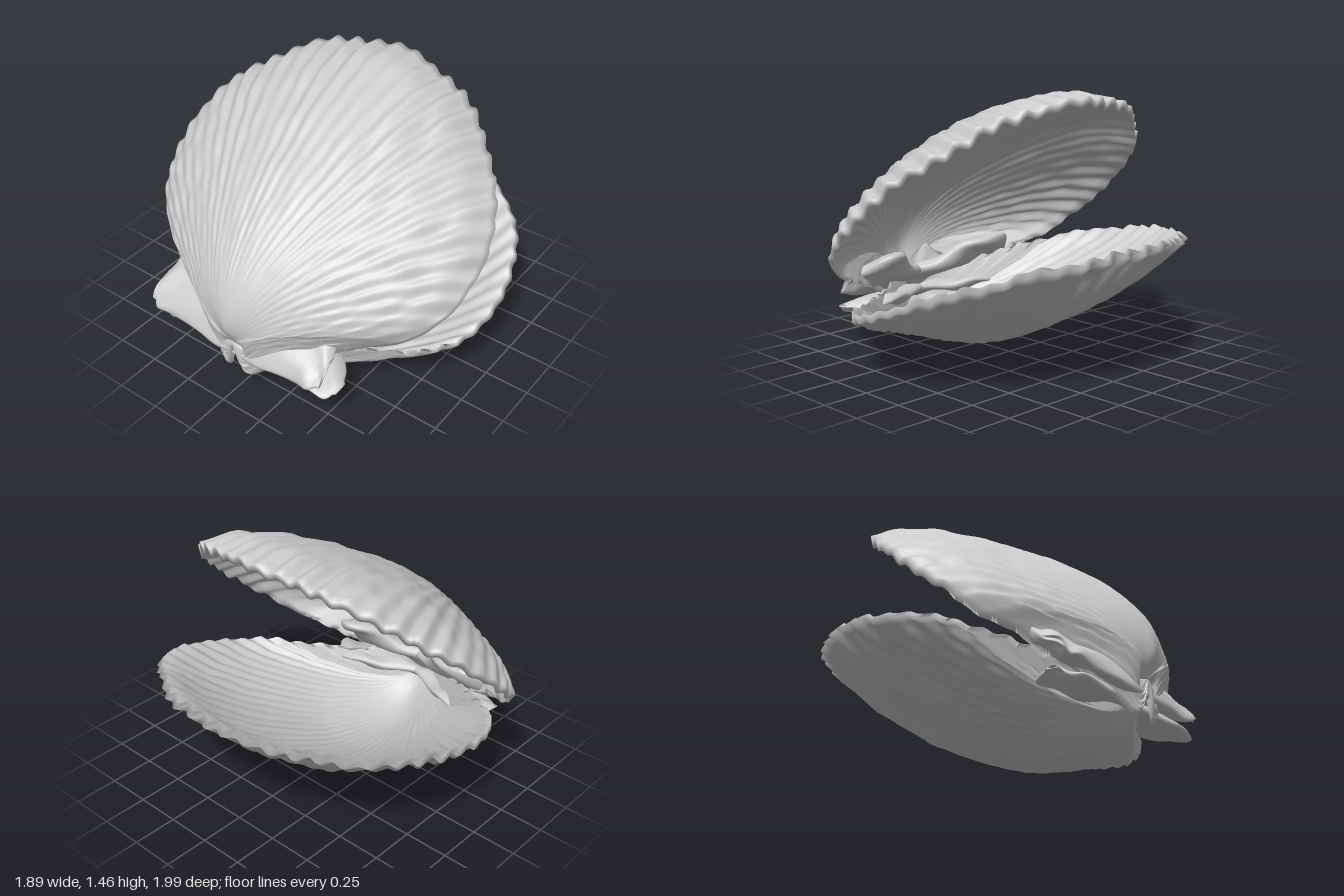
import * as THREE from 'three';

const material = new THREE.MeshStandardMaterial({ color: 0xcccccc, side: THREE.DoubleSide });
const RIBS = 46, COLS = RIBS * 8, OUTER = 40, INNER = 18;

// Half outline of a valve: distance from the beak, sideways distance
const half = [[1.81, 0], [1.74, 0.35], [1.55, 0.66], [1.28, 0.89], [0.95, 0.985], [0.66, 0.94],
  [0.48, 0.81], [0.34, 0.6], [0.19, 0.38], [0.05, 0.18], [-0.03, 0]];
const mirrored = half.slice(1, -1).reverse().map(([a, b]) => [a, -b]);
const outline = new THREE.CatmullRomCurve3(
  [...half, ...mirrored].map(([a, b]) => new THREE.Vector3(a, b, 0)), true, 'centripetal');
outline.arcLengthDivisions = 800;

// Bulge along the middle ray: fraction of the ray, height
const profileCurve = (points) => new THREE.CatmullRomCurve3(
  points.map(([s, h]) => new THREE.Vector3(s, h, 0)), false, 'centripetal');

// Closed grid of rings; flip reverses the faces
function ringGeometry(rows, cols, point, flip) {
  const positions = [], index = [];
  for (let r = 0; r < rows; r++)
    for (let c = 0; c < cols; c++) positions.push(...point(r, c));
  for (let r = 0; r < rows - 1; r++)
    for (let c = 0; c < cols; c++) {
      const d = (c + 1) % cols;
      const i = r * cols + c, j = r * cols + d, k = i + cols, l = j + cols;
      if (flip) index.push(i, k, j, j, k, l);
      else index.push(i, j, k, j, l, k);
    }
  const geometry = new THREE.BufferGeometry();
  geometry.setAttribute('position', new THREE.Float32BufferAttribute(positions, 3));
  geometry.setIndex(index);
  geometry.computeVertexNormals();
  return geometry;
}

// One ribbed valve: outer skin from beak to rim, then inner skin back to the beak
function makeValve(name, { beak, tip, up, profile, narrow, sag, tilt, hinge, ribFade, seed }) {
  const length = Math.hypot(tip[0] - beak[0], tip[1] - beak[1]);
  const ax = (tip[0] - beak[0]) / length, ay = (tip[1] - beak[1]) / length;
  const nx = -ay * up, ny = ax * up;
  const curve = profileCurve(profile);
  const rim = [];
  for (let c = 0; c < COLS; c++) rim.push(outline.getPointAt(c / COLS));

  const point = (r, c) => {
    const inside = r > OUTER;
    const t = inside ? 1 - (r - OUTER - 1) / INNER : r / OUTER;
    const p = curve.getPoint(t);
    const e = rim[c];
    const angle = Math.atan2(e.y, e.x), sin = Math.sin(angle);
    const cos = Math.max(0, Math.cos(angle));
    const fade = THREE.MathUtils.smoothstep(cos, ...ribFade);
    // ribs of uneven strength, fading towards the beak and the hinge sides
    const uneven = 0.8 + 0.35 * Math.sin(e.y * 9 + e.x * 5 + seed);
    const rib = Math.cos(2 * Math.PI * RIBS * c / COLS) * fade * uneven;
    let s = Math.max(0, p.x);
    // growth ripples and fine bumps
    const rough = 0.004 * s * (Math.sin(s * 41 + seed + 2 * e.y) + Math.sin(s * 23 + e.y * 17 + seed)
      + Math.sin(e.x * 29 - s * 31 + seed * 2) + Math.sin(s * 57 + seed) * Math.sin(e.y * 37 + e.x * 19));
    let h = p.y * (0.08 + 0.92 * cos ** narrow) + rib * 0.012 * s ** 1.5 + rough;
    const swell = 0.2 * p.y * (1 - s) ** 2 * sin;
    if (inside) {
      h -= 0.03 * Math.sqrt(s);
      s *= 0.985;
    }
    const k = s * (1 + 0.007 * s ** 4 * rib + 0.006 * s ** 6 * Math.sin(e.y * 13 + seed));
    const a = e.x * k, b = e.y * k + swell;
    const lift = s * sin * sin * (sag + tilt * e.y + hinge * Math.max(0, 0.6 - cos));
    return [beak[0] + ax * a + nx * h, beak[1] + ay * a + ny * h + lift, b];
  };
  const mesh = new THREE.Mesh(ringGeometry(OUTER + INNER + 2, COLS, point, up < 0), material);
  mesh.name = name;
  return mesh;
}

// Hinge ear: flattened oval sections lofted outwards; stations are [z, x, y, halfLength, halfThickness]
function makeEar(name, stations, slope, side) {
  const sides = 24, rows = 24;
  const curves = [1, 2, 3, 4].map((i) => new THREE.CatmullRomCurve3(
    stations.map((q) => new THREE.Vector3(q[0], q[i], 0)), false, 'centripetal'));
  const point = (r, c) => {
    const [x, y, l, w] = curves.map((q) => q.getPoint(r / (rows - 1)).y);
    const z = curves[0].getPoint(r / (rows - 1)).x;
    const a = 2 * Math.PI * c / sides;
    const u = l * Math.cos(a);
    const v = w * Math.sin(a) + 0.012 * Math.sin(u * 30 + z * 14);
    return [x + u * Math.cos(slope) - v * Math.sin(slope),
      y + u * Math.sin(slope) + v * Math.cos(slope), side * z];
  };
  const mesh = new THREE.Mesh(ringGeometry(rows, sides, point, side < 0), material);
  mesh.name = name;
  return mesh;
}

export function createModel() {
  const group = new THREE.Group();
  group.name = 'openShell';

  group.add(makeValve('upperValve', {
    beak: [-0.87, 0.3], tip: [0.55, 1.41], up: 1, narrow: 1.3, sag: -0.12, tilt: -0.02, hinge: -0.08,
    ribFade: [0.3, 0.85], seed: 1,
    profile: [[0, 0], [0.02, 0.165], [0.11, 0.29], [0.244, 0.355], [0.39, 0.365],
      [0.554, 0.335], [0.737, 0.27], [0.9, 0.16], [1, 0.015]],
  }));
  group.add(makeValve('lowerValve', {
    beak: [-0.8, 0.2], tip: [0.94, 0.7], up: -1, narrow: 2.1, sag: 0.035, tilt: -0.16, hinge: 0.36,
    ribFade: [0.15, 0.65], seed: 4,
    profile: [[0, 0], [0.035, 0.155], [0.1, 0.25], [0.18, 0.31], [0.29, 0.34], [0.4, 0.35],
      [0.64, 0.28], [0.83, 0.17], [1, 0.01]],
  }));

  // Ears on both sides of the hinge
  for (const [label, side, reach] of [['left', 1, 0.5], ['right', -1, 0.6]]) {
    group.add(makeEar(label + 'UpperEar', [
      [0, -0.82, 0.29, 0.09, 0.05], [0.14, -0.79, 0.32, 0.14, 0.055], [0.26, -0.73, 0.37, 0.2, 0.055],
      [reach - 0.12, -0.7, 0.38, 0.22, 0.05], [reach - 0.04, -0.73, 0.36, 0.19, 0.04],
      [reach, -0.77, 0.34, 0.11, 0.02], [reach, -0.77, 0.34, 0, 0],
    ], 0.67, side));
    group.add(makeEar(label + 'LowerEar', [
      [0, -0.78, 0.21, 0.05, 0.03], [0.14, -0.75, 0.22, 0.08, 0.035], [0.27, -0.71, 0.22, 0.13, 0.04],
      [0.45, -0.7, 0.22, 0.14, 0.035], [0.53, -0.73, 0.21, 0.1, 0.025],
      [0.56, -0.74, 0.21, 0.05, 0.012], [0.56, -0.74, 0.21, 0, 0],
    ], 0.2, side));
  }
  return group;
}
